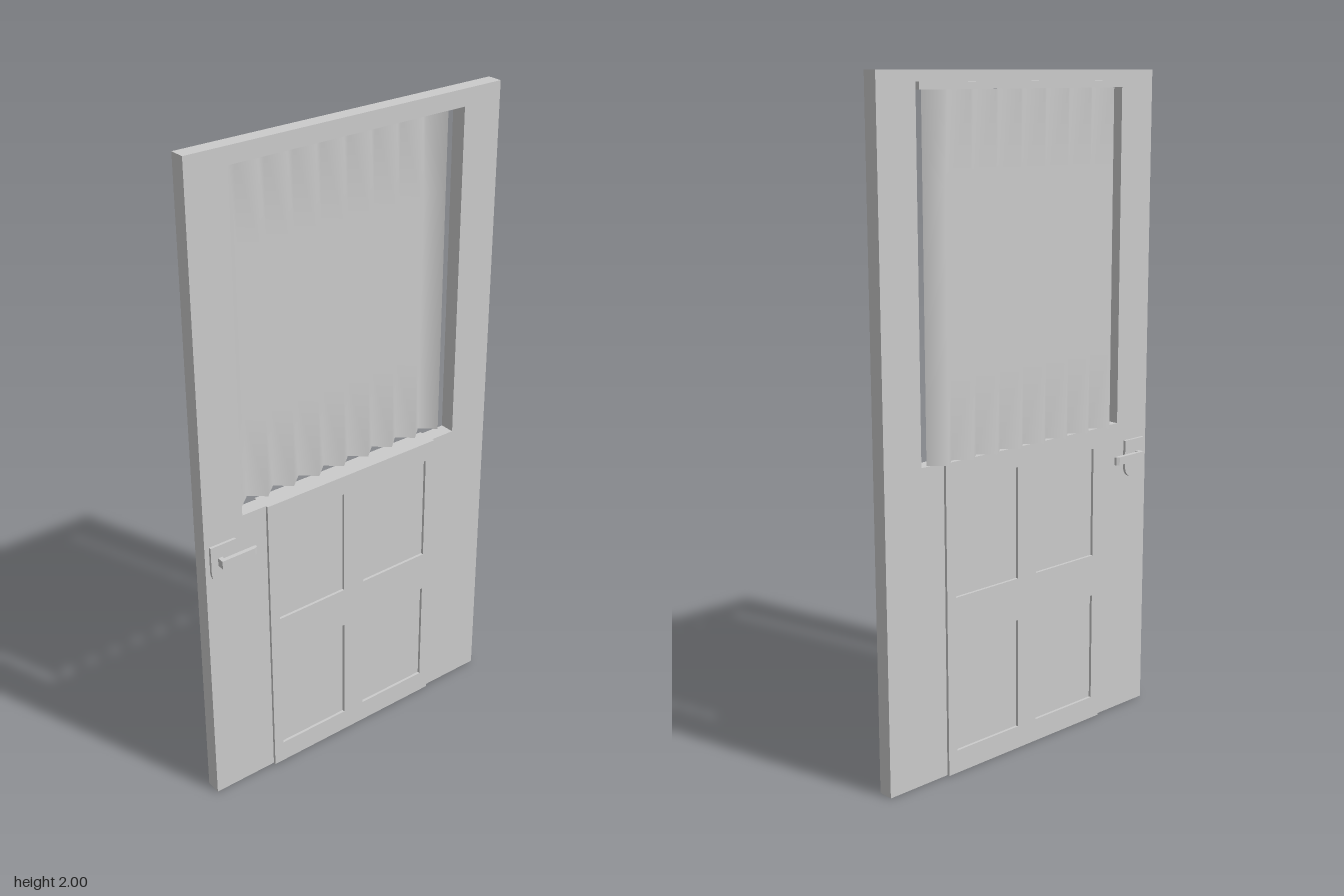
import * as THREE from 'three';

const material = new THREE.MeshStandardMaterial({ color: 0xcccccc });
const fabric = new THREE.MeshStandardMaterial({ color: 0xcccccc, side: THREE.DoubleSide });

function rect(path, z0, z1, y0, y1) {
  path.moveTo(z0, y0);
  path.lineTo(z1, y0);
  path.lineTo(z1, y1);
  path.lineTo(z0, y1);
  path.closePath();
  return path;
}

// Extrudes a (z, y) outline through x0..x1
function slab(name, shape, x0, x1) {
  const geometry = new THREE.ExtrudeGeometry(shape, { depth: x1 - x0, bevelEnabled: false, curveSegments: 10 });
  geometry.rotateY(-Math.PI / 2);
  geometry.translate(x1, 0, 0);
  const mesh = new THREE.Mesh(geometry, material);
  mesh.name = name;
  return mesh;
}

function box(name, x0, x1, y0, y1, z0, z1) {
  const mesh = new THREE.Mesh(new THREE.BoxGeometry(x1 - x0, y1 - y0, z1 - z0), material);
  mesh.position.set((x0 + x1) / 2, (y0 + y1) / 2, (z0 + z1) / 2);
  mesh.name = name;
  return mesh;
}

// Pleated sheet: a zigzag in x along z
function makeCurtain() {
  const pleats = 8, halfWidth = 0.365, rows = 4;
  const geometry = new THREE.PlaneGeometry(2 * halfWidth, 1.01, pleats * 2, rows);
  geometry.rotateY(-Math.PI / 2);
  const p = geometry.attributes.position;
  for (let i = 0; i < p.count; i++) {
    const column = i % (pleats * 2 + 1);
    p.setX(i, column % 2 ? -0.055 : -0.015);
  }
  geometry.translate(0, 1.445, 0);
  geometry.computeVertexNormals();
  const mesh = new THREE.Mesh(geometry, fabric);
  mesh.name = 'curtain';
  return mesh;
}

// Backplate with a rounded foot, neck and lever on one face (side = +1 or -1)
function makeHandle(side) {
  const group = new THREE.Group();
  group.name = side > 0 ? 'leftHandle' : 'rightHandle';
  const span = (a, b) => (side > 0 ? [a, b] : [-b, -a]);

  const plate = new THREE.Shape();
  plate.moveTo(0.505, 0.88);
  plate.lineTo(0.42, 0.88);
  plate.lineTo(0.42, 0.8);
  plate.quadraticCurveTo(0.42, 0.76, 0.4625, 0.76);
  plate.quadraticCurveTo(0.505, 0.76, 0.505, 0.8);
  plate.closePath();
  group.add(slab('handlePlate', plate, ...span(0.022, 0.032)));
  group.add(box('handleNeck', ...span(0.03, 0.042), 0.815, 0.84, 0.468, 0.482));

  // Lever outline seen from above, its tip bent towards the door
  const lever = new THREE.Shape();
  [[0.041, 0.482], [0.054, 0.482], [0.054, 0.372], [0.049, 0.362], [0.041, 0.362]]
    .map(([x, z]) => [x * side, -z])
    .forEach(([x, z], i) => (i ? lever.lineTo(x, z) : lever.moveTo(x, z)));
  lever.closePath();
  const geometry = new THREE.ExtrudeGeometry(lever, { depth: 0.025, bevelEnabled: false });
  geometry.rotateX(-Math.PI / 2);
  geometry.translate(0, 0.815, 0);
  const mesh = new THREE.Mesh(geometry, material);
  mesh.name = 'lever';
  group.add(mesh);
  return group;
}

export function createModel() {
  const model = new THREE.Group();
  model.name = 'door';

  // Door leaf with the window opening
  const leaf = rect(new THREE.Shape(), -0.52, 0.52, 0, 2);
  leaf.holes.push(rect(new THREE.Path(), -0.39, 0.39, 0.94, 1.95));
  model.add(slab('doorLeaf', leaf, -0.0235, 0.0235));

  // Raised panelling with four recessed fields, on both faces
  const panelling = rect(new THREE.Shape(), -0.31, 0.31, 0, 0.94);
  for (const [z0, z1] of [[-0.278, -0.037], [0.037, 0.278]])
    for (const [y0, y1] of [[0.07, 0.41], [0.54, 0.88]])
      panelling.holes.push(rect(new THREE.Path(), z0, z1, y0, y1));
  model.add(slab('leftPanelling', panelling, 0.0235, 0.032));
  model.add(slab('rightPanelling', panelling, -0.032, -0.0235));

  // Curtain and its rail above the window
  model.add(makeCurtain());
  model.add(box('curtainRail', -0.038, -0.0235, 1.95, 1.97, -0.39, 0.39));

  model.add(makeHandle(1), makeHandle(-1));
  return model;
}
